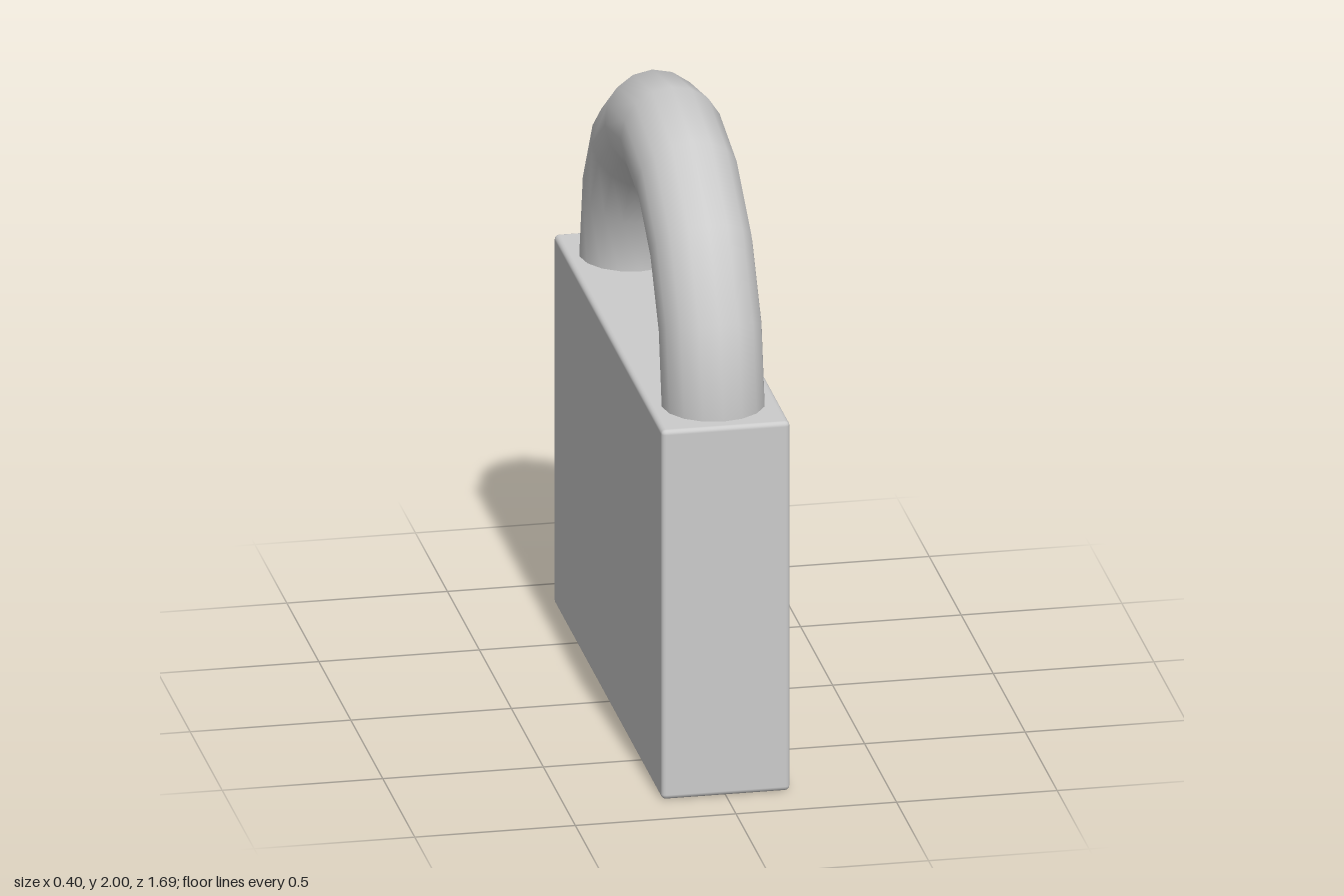
import * as THREE from 'three';
import { RoundedBoxGeometry } from 'three/addons/geometries/RoundedBoxGeometry.js';

export function createModel() {
  const group = new THREE.Group();
  group.name = 'padlock';
  const material = new THREE.MeshStandardMaterial({ color: 0xcccccc });

  // Slab body with narrow rounded edges
  const height = 1.21;
  const body = new THREE.Mesh(new RoundedBoxGeometry(0.4, height, 1.69, 2, 0.015), material);
  body.name = 'body';
  body.position.y = height / 2;
  group.add(body);

  // Half-ring shackle, its open ends sunk just below the top of the body
  const shackle = new THREE.Mesh(new THREE.TorusGeometry(0.645, 0.16, 16, 8, Math.PI), material);
  shackle.name = 'shackle';
  shackle.rotation.y = Math.PI / 2;
  shackle.position.y = 1.195;
  group.add(shackle);

  return group;
}
